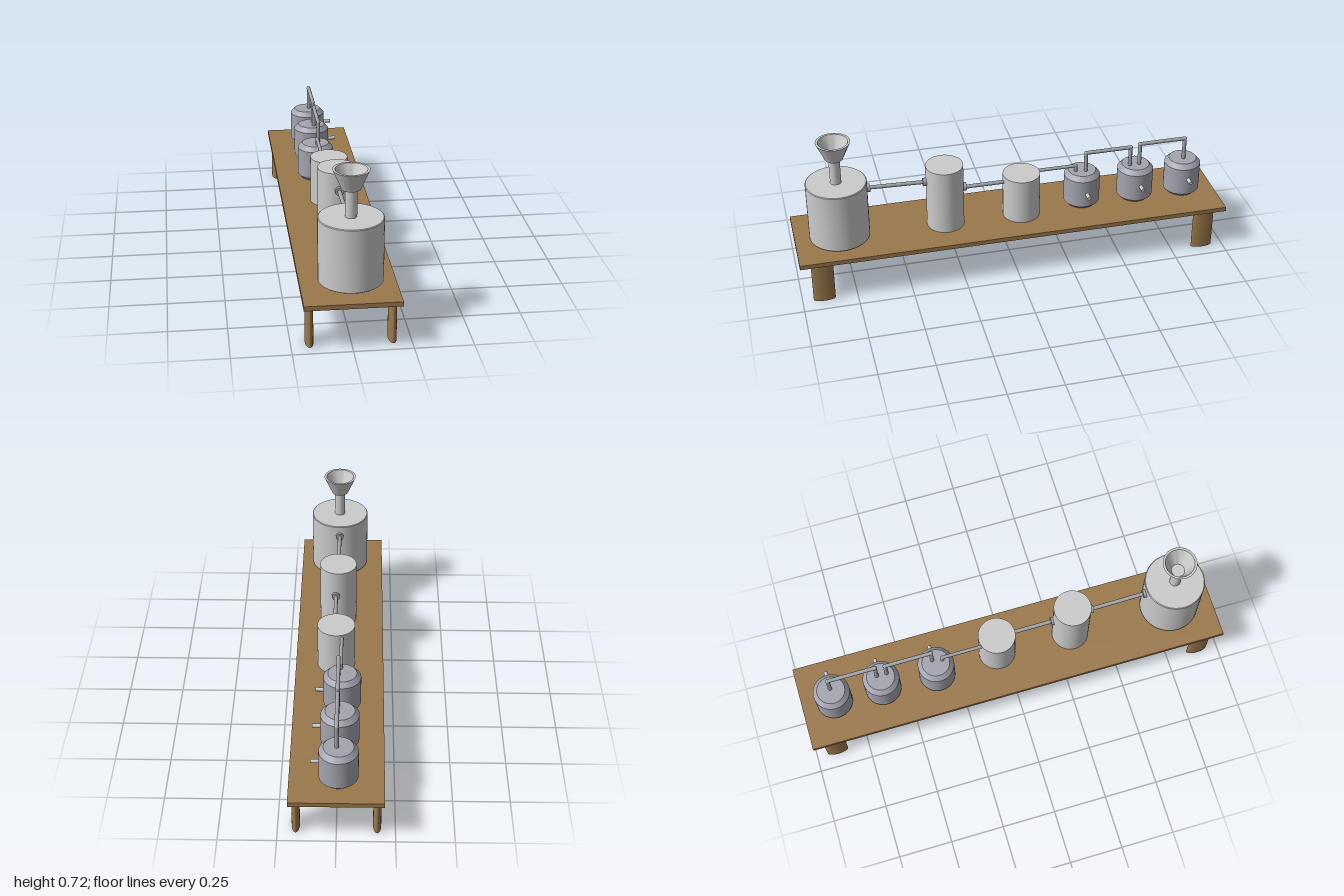
import * as THREE from 'three';
import { toCreasedNormals } from 'three/addons/utils/BufferGeometryUtils.js';

const wood = new THREE.MeshStandardMaterial({ color: 0x9b784a });
const steel = new THREE.MeshStandardMaterial({ color: 0xcccccc });
const potSteel = new THREE.MeshStandardMaterial({ color: 0xa4a4b0 });
const pipeSteel = new THREE.MeshStandardMaterial({ color: 0xa2a4a8 });

const v = (x, y, z) => new THREE.Vector3(x, y, z);

function add(parent, name, geometry, material, x = 0, y = 0, z = 0) {
  const mesh = new THREE.Mesh(geometry, material);
  mesh.name = name;
  mesh.position.set(x, y, z);
  parent.add(mesh);
  return mesh;
}

// Turned part with crisp edges; profile is [radius, height] pairs going up the outside
function turned(profile) {
  const points = profile.map(([r, y]) => new THREE.Vector2(r, y));
  return toCreasedNormals(new THREE.LatheGeometry(points, 48), 0.5);
}

// Straight round bar between two points
function bar(parent, name, a, b, r, material = pipeSteel) {
  const d = b.clone().sub(a);
  const mesh = add(parent, name, new THREE.CylinderGeometry(r, r, d.length(), 20), material);
  mesh.position.copy(a).addScaledVector(d, 0.5);
  mesh.quaternion.setFromUnitVectors(v(0, 1, 0), d.normalize());
}

// Pipe of straight runs with small ball joints at the bends
function pipe(parent, name, points, r = 0.009) {
  const group = new THREE.Group();
  group.name = name;
  points.slice(1).forEach((p, i) => bar(group, 'pipeRun', points[i], p, r));
  points.slice(1, -1).forEach((p) =>
    add(group, 'pipeElbow', new THREE.SphereGeometry(r * 1.1, 16, 12), pipeSteel, p.x, p.y, p.z));
  parent.add(group);
}

export function createModel() {
  const model = new THREE.Group();
  model.name = 'processingLine';
  const top = 0.216;

  // Table with four oval legs
  add(model, 'tableTop', new THREE.BoxGeometry(0.404, 0.021, 2), wood, 0, 0.2055, 0);
  for (const x of [-1, 1]) {
    for (const z of [-1, 1]) {
      const leg = add(model, 'tableLeg', new THREE.CylinderGeometry(1, 1, 0.196, 32), wood,
        x * 0.1725, 0.098, z * 0.9);
      leg.scale.set(0.0175, 1, 0.05);
    }
  }

  // Large tank with softened rims, raised slightly above the table
  add(model, 'mainTank', turned([
    [0, 0.227], [0.134, 0.227], [0.1375, 0.23], [0.1375, 0.507], [0.134, 0.51], [0, 0.51],
  ]), steel, 0.012, 0, 0.795);

  // Feed hopper on its neck, open at the top
  add(model, 'hopperNeck', new THREE.CylinderGeometry(0.025, 0.025, 0.13, 32), steel, 0.012, 0.57, 0.795);
  add(model, 'hopper', turned([
    [0.02, 0.631], [0.039, 0.631], [0.077, 0.717], [0.066, 0.717], [0.03, 0.636], [0.02, 0.636],
  ]), steel, 0.012, 0, 0.795);

  // Two plain cylindrical tanks
  for (const [name, x, z, h] of [['tallTank', 0.012, 0.304, 0.312], ['shortTank', 0.016, -0.054, 0.218]]) {
    add(model, name, new THREE.CylinderGeometry(0.086, 0.086, h, 48), steel, x, top + h / 2, z);
  }

  // Three chamfered pots, each with a side spout
  const potShape = turned([
    [0, 0], [0.066, 0], [0.084, 0.018], [0.084, 0.152], [0.064, 0.174], [0, 0.174],
  ]);
  for (const [x, z, y] of [[-0.016, -0.354, 0.3], [-0.01, -0.613, 0.309], [-0.008, -0.846, 0.314]]) {
    add(model, 'pot', potShape, potSteel, x, top, z);
    bar(model, 'potSpout', v(x + 0.06, y, z - 0.004), v(x + 0.119, y, z - 0.004), 0.009, steel);
  }

  // Pipes linking the vessels
  pipe(model, 'tankPipe', [v(0.012, 0.459, 0.67), v(0.012, 0.449, 0.37)]);
  pipe(model, 'middlePipe', [v(0.022, 0.402, 0.24), v(0.022, 0.402, 0.01)]);
  pipe(model, 'firstPotPipe', [v(-0.01, 0.418, -0.12), v(-0.01, 0.418, -0.321), v(-0.01, 0.38, -0.321)], 0.008);
  pipe(model, 'secondPotPipe', [
    v(0, 0.38, -0.367), v(0, 0.486, -0.367), v(0, 0.486, -0.582), v(0, 0.38, -0.582)]);
  pipe(model, 'thirdPotPipe', [
    v(0, 0.38, -0.628), v(0, 0.497, -0.628), v(0, 0.497, -0.847), v(0, 0.38, -0.847)]);

  // Collars where pipes enter the tanks
  for (const [x, y, z] of [[0.012, 0.457, 0.653], [0.012, 0.45, 0.397], [0.022, 0.404, 0.215]]) {
    bar(model, 'pipeCollar', v(x, y, z - 0.008), v(x, y, z + 0.008), 0.019);
  }

  return model;
}
